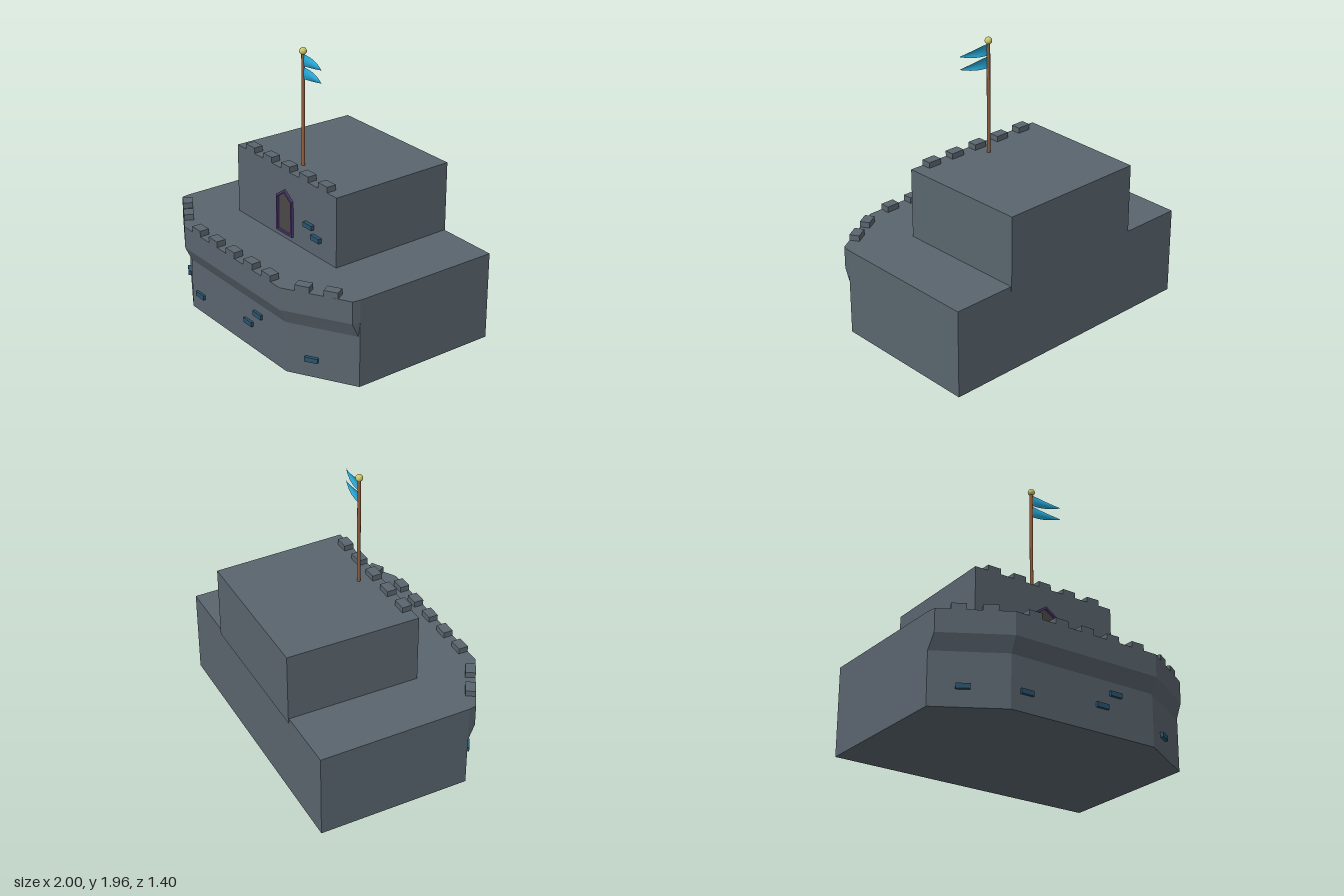
import * as THREE from 'three';

const mat = (color, extra = {}) => Object.assign(new THREE.MeshStandardMaterial(), extra, { color: new THREE.Color(color) });

const stone = mat(0x5a656e, { flatShading: true });
const brickBlue = mat(0x2b536c, { flatShading: true });
const purple = mat(0x4d3a70, { flatShading: true });
const doorDark = mat(0x4b4846, { flatShading: true });
const wood = mat(0x8f5e3f);
const gold = mat(0xc9c76a);
const cloth = mat(0x27a9d8, { side: THREE.DoubleSide });

const SLANT = Math.atan2(0.255, 0.43); // turn of the angled front walls

function add(parent, name, geometry, material, x = 0, y = 0, z = 0, turn = 0) {
  const mesh = new THREE.Mesh(geometry, material);
  mesh.name = name;
  mesh.position.set(x, y, z);
  mesh.rotation.y = turn;
  parent.add(mesh);
  return mesh;
}

// Closed solid from stacked convex rings of [x, z], counter-clockwise from above
function loft(levels) {
  const pos = [];
  const put = (...pts) => pts.forEach(([y, [x, z]]) => pos.push(x, y, z));
  const n = levels[0].ring.length;
  for (let k = 0; k < levels.length - 1; k++) {
    const lo = levels[k], hi = levels[k + 1];
    for (let i = 0; i < n; i++) {
      const j = (i + 1) % n;
      const a = [lo.y, lo.ring[i]], b = [lo.y, lo.ring[j]];
      const c = [hi.y, hi.ring[j]], d = [hi.y, hi.ring[i]];
      put(a, b, c, a, c, d);
    }
  }
  const bottom = levels[0], top = levels[levels.length - 1];
  for (let i = 1; i < n - 1; i++) {
    put([top.y, top.ring[0]], [top.y, top.ring[i]], [top.y, top.ring[i + 1]]);
    put([bottom.y, bottom.ring[0]], [bottom.y, bottom.ring[i + 1]], [bottom.y, bottom.ring[i]]);
  }
  const geometry = new THREE.BufferGeometry();
  geometry.setAttribute('position', new THREE.Float32BufferAttribute(pos, 3));
  geometry.computeVertexNormals();
  return geometry;
}

// Mirror the left (-x) half of a ring to the right
const mirrorRing = (half) => [...half, ...half.slice().reverse().map(([x, z]) => [-x, z])];

// Pointed arch outline
function arch(Type, w, bottom, shoulder, peak) {
  const path = new Type();
  path.moveTo(-w, bottom);
  path.lineTo(w, bottom);
  path.lineTo(w, shoulder);
  path.lineTo(0, peak);
  path.lineTo(-w, shoulder);
  path.closePath();
  return path;
}

// Tapering, bowed pennant pointing along +x
function pennant() {
  const geometry = new THREE.PlaneGeometry(1, 1, 12, 4);
  const p = geometry.attributes.position;
  for (let i = 0; i < p.count; i++) {
    const u = p.getX(i) + 0.5, v = p.getY(i);
    const height = 0.078 * (1 - u ** 1.7) + 0.003;
    const bow = 0.02 * (1 - 4 * v * v) * Math.sin(Math.PI * Math.min(1, u + 0.1));
    p.setXYZ(i, 0.008 + 0.222 * u, v * height, 0.025 * u * u - 0.006 * Math.sin(Math.PI * u) + bow * 0.7);
  }
  geometry.computeVertexNormals();
  return geometry;
}

export function createModel() {
  const castle = new THREE.Group();
  castle.name = 'castle';

  // Lower wall with an overhanging front lip
  const wallRing = (corner, front) => mirrorRing([[-1, -0.7], [-1, 0.39], [-0.99, corner], [-0.56, front]]);
  const lower = wallRing(0.396, 0.65), lip = wallRing(0.445, 0.7);
  add(castle, 'lowerWall', loft([
    { y: 0, ring: lower }, { y: 0.365, ring: lower }, { y: 0.47, ring: lip }, { y: 0.63, ring: lip },
  ]), stone);

  // Upper keep, slightly narrower at the back
  const keepRing = mirrorRing([[-0.545, -0.705], [-0.56, 0.245]]);
  add(castle, 'keep', loft([{ y: 0.595, ring: keepRing }, { y: 1.13, ring: keepRing }]), stone);

  // Battlements
  const merlon = new THREE.BoxGeometry(0.1, 0.06, 0.07);
  for (const x of [-0.41, -0.205, 0, 0.205, 0.41]) {
    add(castle, 'keepMerlon', merlon, stone, x, 1.14, 0.21);
    add(castle, 'wallMerlon', merlon, stone, x, 0.642, 0.665);
  }
  for (const side of [-1, 1]) {
    for (const [x, z] of [[0.675, 0.591], [0.845, 0.49]]) {
      add(castle, 'cornerMerlon', merlon, stone, side * x, 0.642, z, side * SLANT);
    }
  }

  // Doorway: raised frame around a dark panel
  const door = new THREE.Group();
  door.name = 'door';
  const frame = arch(THREE.Shape, 0.088, 0.67, 0.93, 0.99);
  frame.holes.push(arch(THREE.Path, 0.073, 0.684, 0.921, 0.972));
  add(door, 'doorFrame', new THREE.ExtrudeGeometry(frame, { depth: 0.025, bevelEnabled: false }), purple, 0, 0, 0.237);
  add(door, 'doorPanel', new THREE.ShapeGeometry(arch(THREE.Shape, 0.075, 0.68, 0.922, 0.975)), doorDark, 0, 0, 0.248);
  castle.add(door);

  // Protruding bricks: x, y, z, turn
  const brick = new THREE.BoxGeometry(0.092, 0.034, 0.05);
  for (const [x, y, z, turn] of [
    [0.275, 0.83, 0.247, 0], [0.355, 0.765, 0.247, 0],
    [0.25, 0.283, 0.643, 0], [0.14, 0.183, 0.643, 0], [-0.445, 0.133, 0.643, 0],
    [0.715, 0.133, 0.555, SLANT], [-0.81, 0.133, 0.499, -SLANT],
  ]) add(castle, 'brick', brick, brickBlue, x, y, z, turn);

  // Flagpole with ball and two pennants
  const flag = new THREE.Group();
  flag.name = 'flag';
  flag.position.z = 0.095;
  add(flag, 'pole', new THREE.CylinderGeometry(0.012, 0.012, 0.81, 16), wood, 0, 1.52, 0);
  add(flag, 'poleBall', new THREE.SphereGeometry(0.025, 20, 14), gold, 0, 1.935, 0);
  const pennantShape = pennant();
  for (const y of [1.873, 1.784]) add(flag, 'pennant', pennantShape, cloth, 0, y, 0);
  castle.add(flag);

  return castle;
}
